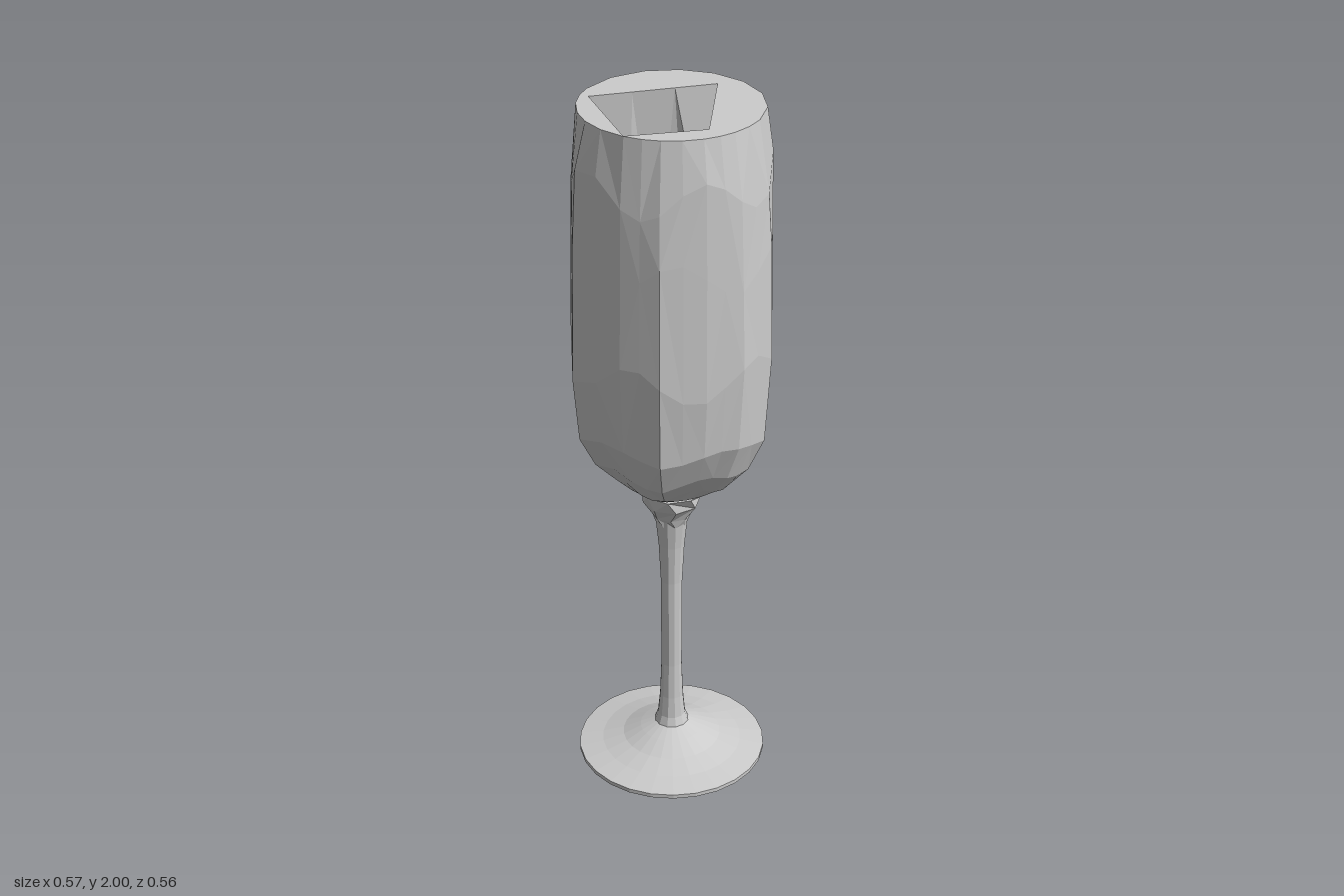
import * as THREE from 'three';

const material = new THREE.MeshStandardMaterial({ color: 0xcccccc, flatShading: true });
const thinMaterial = new THREE.MeshStandardMaterial({ color: 0xcccccc, flatShading: true, side: THREE.DoubleSide });

// Insert evenly spaced points along each side of a closed [x, z] polygon
function subdivide(points, parts) {
  const out = [];
  points.forEach(([x, z], i) => {
    const [x2, z2] = points[(i + 1) % points.length];
    for (let k = 0; k < parts; k++) out.push([x + (x2 - x) * k / parts, z + (z2 - z) * k / parts]);
  });
  return out;
}

function circle(radius, sides, start = 0, cx = 0, cz = 0) {
  return Array.from({ length: sides }, (_, i) => {
    const a = start + i / sides * Math.PI * 2;
    return [cx + Math.cos(a) * radius, cz + Math.sin(a) * radius];
  });
}

// Skin equal-sized rings, listed from bottom to top: { y, points }
function loft(rings) {
  const n = rings[0].points.length, pos = [], index = [];
  for (const { y, points } of rings) for (const [x, z] of points) pos.push(x, y, z);
  for (let j = 0; j < rings.length - 1; j++) {
    for (let i = 0; i < n; i++) {
      const a = j * n + i, c = j * n + (i + 1) % n, b = a + n, d = c + n;
      // Alternating diagonals give the irregular facets
      if ((i + j * 3) % 4 < 2) index.push(a, b, c, c, b, d);
      else index.push(a, b, d, a, d, c);
    }
  }
  const g = new THREE.BufferGeometry();
  g.setAttribute('position', new THREE.Float32BufferAttribute(pos, 3));
  g.setIndex(index);
  const flat = g.toNonIndexed();
  flat.computeVertexNormals();
  return flat;
}

export function createModel() {
  const group = new THREE.Group();
  const add = (name, geometry, mat = material) => {
    const mesh = new THREE.Mesh(geometry, mat);
    mesh.name = name;
    group.add(mesh);
  };
  const lathe = (profile, sides) =>
    new THREE.LatheGeometry(profile.map(([r, y]) => new THREE.Vector2(r, y)), sides);

  // Foot: flat disc rising to the stem
  add('foot', lathe([[0, 0], [0.24, 0.003], [0.268, 0.012], [0.268, 0.024], [0.2, 0.037],
    [0.14, 0.055], [0.09, 0.08], [0.045, 0.1], [0, 0.1]], 26));

  // Stem, flared at both ends
  add('stem', lathe([[0.05, 0.095], [0.04, 0.125], [0.034, 0.19], [0.03, 0.3], [0.031, 0.58],
    [0.037, 0.7], [0.046, 0.79]], 12));

  // Faceted collar under the bowl
  add('collar', loft([
    { y: 0.77, points: circle(0.043, 8) },
    { y: 0.8, points: circle(0.055, 8, 0.3) },
    { y: 0.84, points: circle(0.08, 8, 0.1) },
    { y: 0.88, points: circle(0.086, 8, 0.4, 0, 0.005) },
    { y: 0.885, points: circle(0.03, 8, 0.4) },
  ]), thinMaterial);

  // Bowl: an irregular polygon that turns round at the rim
  const widest = subdivide([[0.283, -0.015], [0.22, 0.188], [0.123, 0.264], [0.02, 0.277],
    [-0.105, 0.272], [-0.19, 0.197], [-0.285, 0.065], [-0.255, -0.08], [-0.21, -0.185],
    [-0.01, -0.278], [0.188, -0.21]], 2);
  const n = widest.length;
  const rim = widest.map(([x, z]) => {
    const s = 0.242 / Math.hypot(x, z);
    return [x * s, z * s];
  });
  // Radius scale, and share of the irregular outline, at each height
  const levels = [[0.88, 0.28, 0.4], [0.905, 0.43, 0.7], [0.95, 0.62, 0.8], [1.01, 0.79, 1],
    [1.11, 0.945, 1], [1.33, 1, 1], [1.63, 0.98, 0.9], [1.84, 0.96, 0.6], [2, 1, 0]];
  const bowlRings = levels.map(([y, scale, share], j) => ({
    y,
    points: widest.map(([x, z], i) => {
      const round = j === levels.length - 1 ? 1 : scale * 1.13;
      return [rim[i][0] * round * (1 - share) + x * scale * share,
        rim[i][1] * round * (1 - share) + z * scale * share];
    }),
  }));
  // Stagger the heights a little so the facets do not line up in bands
  const bowl = loft(bowlRings);
  const p = bowl.attributes.position;
  for (let i = 0; i < p.count; i++) {
    const y = p.getY(i);
    if (y > 0.94 && y < 1.95) {
      const a = Math.atan2(p.getZ(i), p.getX(i));
      p.setY(i, y + (y > 1.2 ? 0.05 : 0.015) * Math.sin(a * 5 + y * 7));
    }
  }
  bowl.computeVertexNormals();
  add('bowl', bowl);

  // Flat rim with a four-sided opening
  const opening = [[0.15, -0.105], [0.046, 0.184], [-0.168, 0.172], [-0.19, -0.105]];
  const toVector = ([x, z]) => new THREE.Vector2(x, -z);
  const rimShape = new THREE.Shape(rim.map(toVector));
  rimShape.holes.push(new THREE.Path(opening.map(toVector)));
  add('rim', new THREE.ShapeGeometry(rimShape).rotateX(-Math.PI / 2).translate(0, 2, 0), thinMaterial);

  // Hollow inside, narrowing to a rounded bottom
  const mouth = subdivide(opening, 3);
  const start = Math.atan2(-0.105, 0.15);
  add('cavity', loft([
    { y: 0.96, points: circle(0.002, 12, start) },
    { y: 1.0, points: circle(0.08, 12, start, 0.01, 0.02) },
    { y: 1.12, points: circle(0.135, 12, start, 0.01, 0.01) },
    { y: 1.45, points: circle(0.155, 12, start, 0.01, 0.01) },
    { y: 2, points: mouth },
  ]), thinMaterial);

  return group;
}
